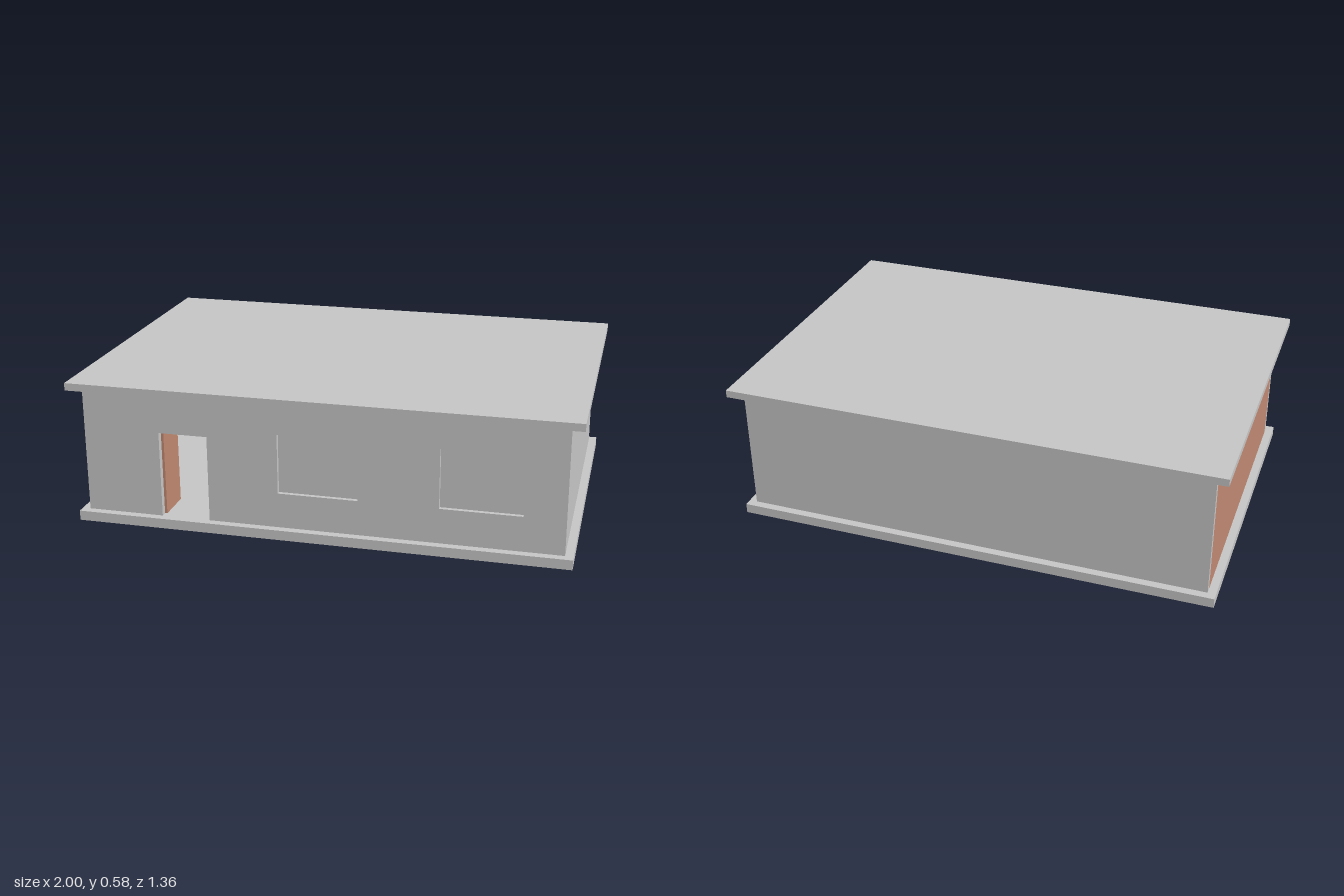
import * as THREE from 'three';

export function createModel() {
  const model = new THREE.Group();
  model.name = 'house';

  const grey = new THREE.MeshStandardMaterial({ color: 0xc4c4c4 });
  grey.name = 'concrete grey';
  const brown = new THREE.MeshStandardMaterial({ color: 0xbe8770 });
  brown.name = 'clay brown';

  // Box given by its lower and upper corners
  function block(name, [x0, y0, z0], [x1, y1, z1], material = grey) {
    const mesh = new THREE.Mesh(new THREE.BoxGeometry(x1 - x0, y1 - y0, z1 - z0), material);
    mesh.position.set((x0 + x1) / 2, (y0 + y1) / 2, (z0 + z1) / 2);
    mesh.name = name;
    model.add(mesh);
  }

  const W = 0.95, D = 0.635, T = 0.025; // half width, half depth, wall thickness
  const FLOOR = 0.04, TOP = 0.552;
  const inner = D - T;

  // Slabs
  block('baseSlab', [-0.982, 0, -0.667], [0.982, FLOOR, 0.667]);
  block('roofSlab', [-1, TOP, -0.682], [1, 0.582, 0.682]);

  // Plain walls; the left end of the front is closed by a brown panel wall
  block('backWall', [-W, FLOOR, -D], [W, TOP, -inner]);
  block('leftWall', [W - T, FLOOR, -inner], [W, TOP, inner]);
  block('rightWall', [-W, FLOOR, -inner], [-W + T, TOP, inner], brown);

  // Front wall with a doorway notch and two window holes
  const door = { x0: -0.64, x1: -0.443, top: 0.39 };
  const windows = [[-0.16, 0.157], [0.472, 0.79]];
  const sill = 0.182, head = 0.424;
  const outline = new THREE.Shape([
    [-W, FLOOR], [door.x0, FLOOR], [door.x0, door.top], [door.x1, door.top],
    [door.x1, FLOOR], [W, FLOOR], [W, TOP], [-W, TOP],
  ].map(([x, y]) => new THREE.Vector2(x, y)));
  for (const [x0, x1] of windows) {
    outline.holes.push(new THREE.Path([
      [x0, sill], [x0, head], [x1, head], [x1, sill],
    ].map(([x, y]) => new THREE.Vector2(x, y))));
  }
  const frontWall = new THREE.Mesh(
    new THREE.ExtrudeGeometry(outline, { depth: T, bevelEnabled: false }), grey);
  frontWall.position.z = inner;
  frontWall.name = 'frontWall';
  model.add(frontWall);

  // Recessed window panes
  for (const [x0, x1] of windows) {
    block('windowPane', [x0, sill, inner], [x1, head, inner + 0.008]);
  }

  // Door swung open into the room, and the partition behind it
  block('openDoor', [door.x0, FLOOR, 0.46], [door.x0 + 0.01, 0.38, inner], brown);
  block('partitionWall', [-0.49, FLOOR, -inner], [-0.465, TOP, 0.2]);

  return model;
}
